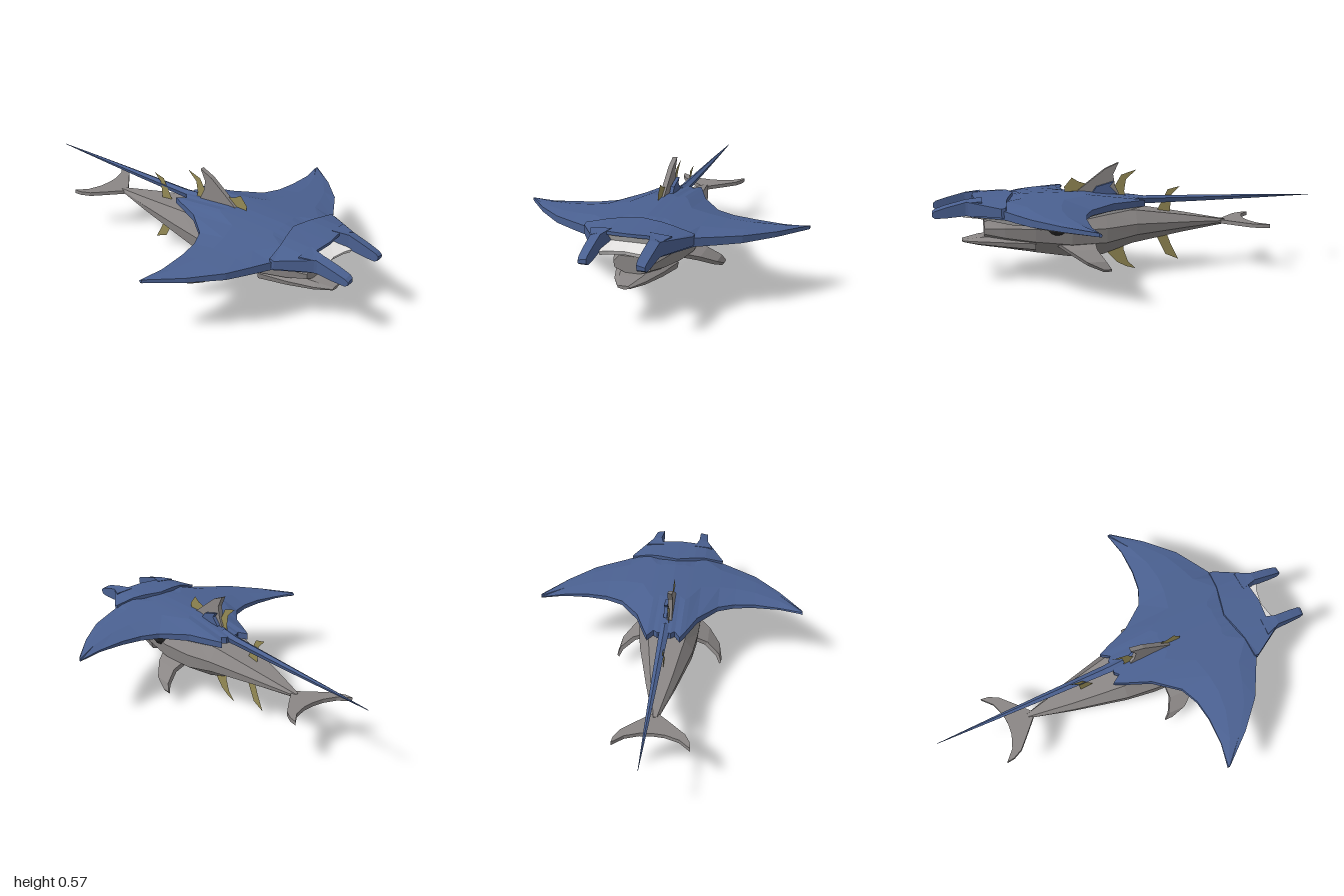
import * as THREE from 'three';

const mat = (name, color, side = THREE.FrontSide) => {
  const m = new THREE.MeshStandardMaterial({ color, side, flatShading: true });
  m.name = name;
  return m;
};

// Closed, flat-shaded loft through equal-length rings of [x, y, z].
// slot(j) gives the material index of ring segment j.
function loft(rings, slot = () => 0) {
  const n = rings[0].length, tris = [[], []];
  const add = (s, a, b, c) => tris[s].push([a, b, c]);
  for (let i = 0; i < rings.length - 1; i++) {
    for (let j = 0; j < n; j++) {
      const k = (j + 1) % n, a = rings[i], b = rings[i + 1];
      add(slot(j), a[j], a[k], b[k]);
      add(slot(j), a[j], b[k], b[j]);
    }
  }
  const first = rings[0], last = rings[rings.length - 1];
  for (let j = 1; j < n - 1; j++) {
    add(0, first[0], first[j + 1], first[j]);
    add(0, last[0], last[j], last[j + 1]);
  }
  // Turn every face outward, judged by the enclosed volume
  const V = (p) => new THREE.Vector3(...p);
  let volume = 0;
  tris.flat().forEach(([a, b, c]) => { volume += V(a).dot(V(b).cross(V(c))); });
  const order = (t) => (volume < 0 ? [t[0], t[2], t[1]] : t);
  const pos = tris.flat().flatMap((t) => order(t).flat());
  const g = new THREE.BufferGeometry();
  g.setAttribute('position', new THREE.Float32BufferAttribute(pos, 3));
  g.addGroup(0, tris[0].length * 3, 0);
  g.addGroup(tris[0].length * 3, tris[1].length * 3, 1);
  g.computeVertexNormals();
  return g;
}

const outline = (points) => new THREE.Shape(points.map(([x, y]) => new THREE.Vector2(x, y)));

// Flat plate from an xy outline, centred on z = 0
const plate = (points, depth) =>
  new THREE.ExtrudeGeometry(outline(points), { depth, bevelEnabled: false }).translate(0, 0, -depth / 2);

// Repeat half-span stations [z, ...] on both sides
const bothSides = (half) => [
  ...half.slice().reverse().filter((s) => s[0] > 0).map(([z, ...r]) => [-z, ...r]),
  ...half,
];

// Fish cross-section: flat back, upright flanks, keeled belly
function fishRing([x, b, t, w, cz]) {
  const h = t - b;
  const side = [[t, 0.68 * w], [b + 0.66 * h, w], [b + 0.37 * h, 0.95 * w]];
  return [
    ...side.map(([y, z]) => [x, y, cz + z]),
    [x, b, cz],
    ...side.reverse().map(([y, z]) => [x, y, cz - z]),
  ];
}

export function createModel() {
  const blue = mat('rayBlue', 0x4a6090);
  const grey = mat('fishGrey', 0x8a8685);
  const yellow = mat('finYellow', 0x958a55, THREE.DoubleSide);
  const black = mat('eyeBlack', 0x262626);
  const white = mat('bellyWhite', 0xe4e2e1);

  const model = new THREE.Group();
  model.name = 'rayAndFish';
  const add = (name, geometry, material, parent = model) => {
    const m = new THREE.Mesh(geometry, material);
    m.name = name;
    parent.add(m);
    return m;
  };

  // ---- Fish ----
  const fish = new THREE.Group();
  fish.name = 'fish';
  model.add(fish);

  // x, bottom, top, half width, centre z
  add('fishBody', loft([
    [-0.53, 0.225, 0.25, 0.012, 0.015], [-0.3, 0.19, 0.29, 0.075, 0.015],
    [-0.02, 0.14, 0.335, 0.14, 0.012], [0.14, 0.088, 0.345, 0.16, 0.005],
    [0.32, 0.088, 0.345, 0.17, 0], [0.5, 0.118, 0.345, 0.155, 0],
    [0.65, 0.16, 0.33, 0.125, 0], [0.75, 0.205, 0.3, 0.09, 0],
  ].map(fishRing)), grey, fish);
  add('lowerJaw', loft([
    [0.5, 0.119, 0.23, 0.14, 0], [0.65, 0.146, 0.226, 0.115, 0],
    [0.78, 0.168, 0.218, 0.075, 0], [0.86, 0.188, 0.205, 0.03, 0],
  ].map(fishRing)), grey, fish);

  // Horizontal tail fluke
  const fluke = [[-0.5, 0.012], [-0.565, 0.085], [-0.63, 0.155], [-0.68, 0.18], [-0.72, 0.185], [-0.67, 0.13], [-0.645, 0.06], [-0.64, 0]];
  const flukeBack = fluke.slice(0, -1).reverse().map(([x, z]) => [x, -z]);
  const tail = add('tailFluke', plate([...fluke, ...flukeBack], 0.02), grey, fish);
  tail.rotation.x = Math.PI / 2;
  tail.position.set(0, 0.238, 0.015);

  // Tall dorsal fin
  add('dorsalFin', plate([
    [0.28, 0.34], [0.28, 0.42], [0.2, 0.48], [0.12, 0.54], [0.05, 0.57],
    [0.08, 0.51], [0.07, 0.45], [0.05, 0.41], [0.06, 0.34],
  ], 0.024), grey, fish).position.z = 0.02;

  // Drooping side fins (rear x, front x, y, z, half thickness) and eyes
  const sideFin = [
    [0.2, 0.41, 0.19, 0.11, 0.012], [0.2, 0.34, 0.152, 0.2, 0.012],
    [0.165, 0.26, 0.105, 0.265, 0.011], [0.14, 0.18, 0.07, 0.283, 0.008],
  ];
  for (const s of [1, -1]) {
    const side = s > 0 ? 'left' : 'right';
    add(side + 'SideFin', loft(sideFin.map(([a, b, y, z, t]) => {
      const dy = 0.8 * t, dz = 0.6 * t, at = (x, k) => [x, y + k * dy, 0.008 + s * (z + k * dz)];
      return [at(a, 1), at(b, 1), at(b, -1), at(a, -1)];
    })), grey, fish);
    const eye = add(side + 'Eye', new THREE.SphereGeometry(0.062, 12, 8), black, fish);
    eye.position.set(0.39, 0.288, 0.133 * s);
  }

  // Paper-thin yellow finlets along back and belly
  const finlets = {
    frontBackFinlet: [[0.22, 0.4], [0.21, 0.46], [0.26, 0.475], [0.295, 0.497], [0.335, 0.45], [0.33, 0.4]],
    middleBackFinlet: [[0.09, 0.34], [0.08, 0.43], [0.035, 0.505], [-0.045, 0.53], [0.01, 0.48], [0.02, 0.42], [0, 0.33]],
    rearBackFinlet: [[-0.14, 0.28], [-0.19, 0.37], [-0.215, 0.42], [-0.28, 0.435], [-0.235, 0.39], [-0.225, 0.28]],
    frontBellyFinlet: [[0.13, 0.15], [0.12, 0.105], [0.06, 0.04], [0.01, 0.013], [-0.04, 0], [0, 0.04], [0.025, 0.11], [0.02, 0.17]],
    rearBellyFinlet: [[-0.12, 0.2], [-0.16, 0.16], [-0.205, 0.07], [-0.275, 0.04], [-0.235, 0.12], [-0.2, 0.21]],
  };
  for (const [name, pts] of Object.entries(finlets)) {
    add(name, new THREE.ShapeGeometry(outline(pts)), yellow, fish).position.z = 0.018;
  }

  // ---- Ray ----
  const ray = new THREE.Group();
  ray.name = 'ray';
  model.add(ray);

  // z, trailing x, leading x, top, edge top, edge bottom, belly
  const span = bothSides([
    [0, -0.04, 0.75, 0.427, 0.395, 0.35, 0.29], [0.035, -0.045, 0.75, 0.425, 0.395, 0.35, 0.29],
    [0.055, -0.025, 0.75, 0.424, 0.393, 0.35, 0.29], [0.085, -0.07, 0.75, 0.422, 0.39, 0.348, 0.29],
    [0.108, -0.02, 0.75, 0.42, 0.39, 0.348, 0.29], [0.16, 0.11, 0.82, 0.415, 0.39, 0.345, 0.293],
    [0.26, 0.235, 0.66, 0.405, 0.38, 0.343, 0.308], [0.35, 0.275, 0.61, 0.395, 0.376, 0.342, 0.315],
    [0.455, 0.29, 0.55, 0.385, 0.372, 0.342, 0.322], [0.59, 0.288, 0.425, 0.37, 0.362, 0.342, 0.333],
    [0.715, 0.262, 0.275, 0.354, 0.353, 0.34, 0.339],
  ]);
  add('rayBody', loft(span.map(([z, a, b, top, et, eb, belly]) => {
    const at = (f) => a + (b - a) * f;
    return [
      [a, et - 0.005, z], [at(0.35), top, z], [at(0.75), top, z], [b, et + 0.005, z],
      [b, eb, z], [at(0.7), belly, z], [at(0.35), belly, z], [a, eb + 0.005, z],
    ];
  }), (j) => (j >= 4 && j <= 6 ? 1 : 0)), [blue, white], ray);

  // Raised head shield: z, rear x, front x, top, front bottom
  add('headShield', loft(bothSides([
    [0, 0.6, 0.805, 0.434, 0.412], [0.1, 0.625, 0.795, 0.432, 0.41],
    [0.16, 0.64, 0.835, 0.425, 0.352], [0.26, 0.65, 0.672, 0.402, 0.352],
  ]).map(([z, a, b, top, low]) => [[a, top, z], [b, top - 0.006, z], [b, low, z], [a, 0.352, z]])), blue, ray);

  // Head lobes: x, inner z, outer z, bottom, top
  const lobe = [
    [0.76, 0.09, 0.19, 0.35, 0.43], [0.84, 0.112, 0.16, 0.35, 0.425], [0.93, 0.11, 0.156, 0.342, 0.402],
    [0.985, 0.11, 0.152, 0.34, 0.385], [1, 0.112, 0.15, 0.35, 0.373],
  ];
  for (const s of [1, -1]) {
    add(s > 0 ? 'leftHeadLobe' : 'rightHeadLobe', loft(lobe.map(([x, zi, zo, b, t]) => [
      [x, t, zi * s], [x, t - 0.008, zo * s], [x, b, zo * s], [x, b, zi * s],
    ])), blue, ray);
  }

  // Open pale mouth between the lobes, with a jutting lower lip
  add('rayMouth', loft([-0.113, -0.075, 0, 0.075, 0.113].map((z) => {
    const lip = 0.832 + 2.4 * z * z;
    return [[0.72, 0.412, z], [0.79, 0.412, z], [0.765, 0.375, z], [lip, 0.355, z], [lip - 0.01, 0.335, z], [0.72, 0.318, z]];
  })), white, ray);

  // Low fin on the back and whip tail
  add('rayBackFin', plate([[0.2, 0.41], [0.17, 0.45], [0.08, 0.475], [0.1, 0.45], [0.06, 0.41]], 0.018), blue, ray).position.z = -0.004;
  add('rayTail', loft([
    [0.02, 0.03, 0.352, 0.408], [-0.08, 0.024, 0.355, 0.395], [-0.4, 0.017, 0.358, 0.388],
    [-0.7, 0.01, 0.363, 0.381], [-1, 0.001, 0.369, 0.372],
  ].map(([x, w, b, t]) => {
    const y = b + 0.7 * (t - b);
    return [[x, t, 0], [x, y, w], [x, b, 0.6 * w], [x, b, -0.6 * w], [x, y, -w]];
  })), blue, ray);

  return model;
}
